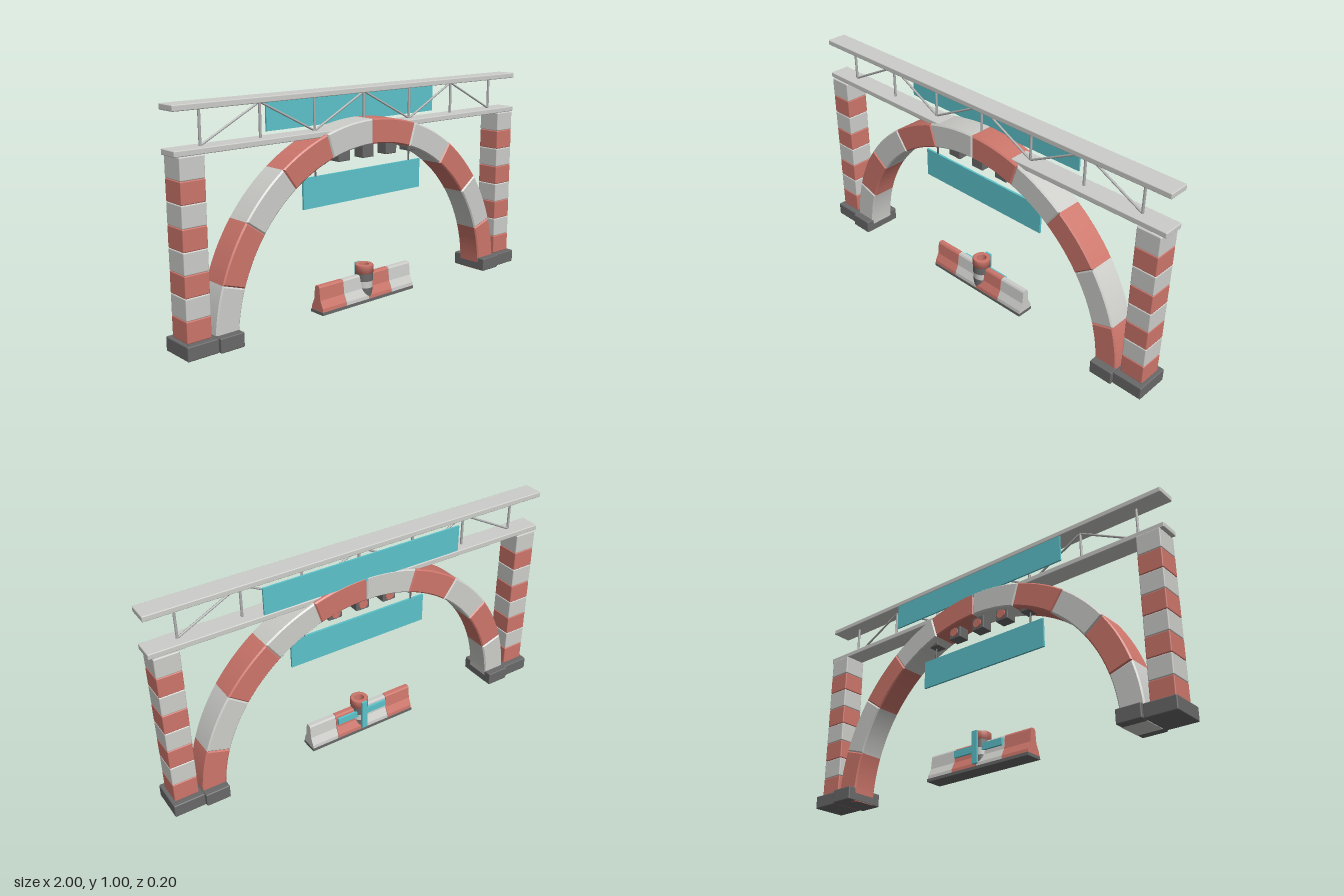
import * as THREE from 'three';
import { RoundedBoxGeometry } from 'three/addons/geometries/RoundedBoxGeometry.js';

const mat = (name, color) => {
  const m = new THREE.MeshStandardMaterial({ color });
  m.name = name;
  return m;
};

export function createModel() {
  const red = mat('red', 0xcd766b);
  const pale = mat('paleGrey', 0xcdcdca);
  const dark = mat('darkGrey', 0x696969);
  const metal = mat('metalGrey', 0xb2b2b2);
  const teal = mat('teal', 0x5cc3cb);

  const model = new THREE.Group();
  model.name = 'archGate';

  const add = (name, geometry, material, x = 0, y = 0, z = 0, parent = model) => {
    const mesh = new THREE.Mesh(geometry, material);
    mesh.name = name;
    mesh.position.set(x, y, z);
    parent.add(mesh);
    return mesh;
  };
  const block = (w, h, d, r = 0.005) => new RoundedBoxGeometry(w, h, d, 2, r);
  const group = (name) => {
    const g = new THREE.Group();
    g.name = name;
    model.add(g);
    return g;
  };

  // Round bar between two points in the z = 0 plane
  const bar = (name, x0, y0, x1, y1, radius, material, parent) => {
    const length = Math.hypot(x1 - x0, y1 - y0);
    const mesh = add(name, new THREE.CylinderGeometry(radius, radius, length, 8), material,
      (x0 + x1) / 2, (y0 + y1) / 2, 0, parent);
    mesh.rotation.z = Math.atan2(x0 - x1, y1 - y0);
  };

  // Arch: ten bevelled wedges in alternating colours
  const arch = group('arch');
  const step = Math.PI / 10, outer = 0.857, inner = 0.744, bevel = 0.006;
  for (let i = 0; i < 10; i++) {
    const a0 = i * step, a1 = a0 + step;
    const shape = new THREE.Shape();
    shape.absarc(0, 0, outer, a0, a1, false);
    shape.absarc(0, 0, inner, a1, a0, true);
    shape.closePath();
    const geo = new THREE.ExtrudeGeometry(shape, {
      depth: 0.126 - 2 * bevel, curveSegments: 8, bevelEnabled: true,
      bevelSize: bevel, bevelThickness: bevel, bevelOffset: -bevel, bevelSegments: 1,
    });
    geo.translate(0, 0, -0.063 + bevel);
    add('archSegment', geo, i % 2 ? pale : red, 0, 0, 0, arch);
  }

  // Striped posts and feet on both sides
  const pitch = 0.0927;
  for (const side of [-1, 1]) {
    const post = group(side > 0 ? 'leftPost' : 'rightPost');
    for (let i = 0; i < 8; i++) {
      add('postBlock', block(0.112, pitch, 0.114), i % 2 ? pale : red,
        side * 0.928, 0.062 + (i + 0.5) * pitch, 0, post);
    }
    add('postFoot', block(0.144, 0.062, 0.166), dark, side * 0.928, 0.031, 0, post);
    add('archFoot', block(0.114, 0.064, 0.196), dark, side * 0.8, 0.032, 0, post);
  }

  // Truss: two flat beams, uprights and zigzag diagonals
  const truss = group('truss');
  add('lowerBeam', block(2, 0.025, 0.098, 0.004), pale, 0, 0.8155, 0, truss);
  add('upperBeam', block(2, 0.025, 0.098, 0.004), pale, 0, 0.9875, 0, truss);
  const gap = 0.2853, low = 0.828, high = 0.975;
  for (let i = 0; i < 7; i++) {
    const x = (i - 3) * gap;
    bar('upright', x, low, x, high, 0.006, metal, truss);
    if (i < 6) {
      const up = i % 2 === 0;
      bar('diagonal', x, up ? low : high, x + gap, up ? high : low, 0.005, metal, truss);
    }
  }

  // Banner on the back of the truss
  add('upperBanner', new THREE.BoxGeometry(1, 0.125, 0.008), teal, 0, 0.9025, -0.057);

  // Hanging sign on two rods
  const sign = group('hangingSign');
  add('signPanel', new THREE.BoxGeometry(0.71, 0.138, 0.01), teal, 0, 0.559, 0, sign);
  for (const x of [-0.285, 0.285]) bar('signRod', x, 0.625, x, 0.71, 0.004, dark, sign);

  // Signal lamps under the crown, lenses facing the back
  const lamps = group('lamps');
  for (let i = -2; i <= 2; i++) {
    const x = i * 0.1427;
    add('lampBox', block(0.068, 0.07, 0.06, 0.004), dark, x, 0.715, 0, lamps);
    const lens = add('lampLens', new THREE.CylinderGeometry(0.022, 0.022, 0.008, 20), red,
      x, 0.711, -0.033, lamps);
    lens.rotation.x = Math.PI / 2;
  }

  // Road barrier: four sections with a flared profile
  const barrier = group('barrier');
  add('barrierBase', new THREE.BoxGeometry(0.57, 0.014, 0.084), dark, 0, 0.007, 0, barrier);
  const half = [[0.04, 0.012], [0.038, 0.03], [0.021, 0.065], [0.015, 0.122], [0.01, 0.13]];
  const profile = new THREE.Shape([
    ...half.map(([z, y]) => new THREE.Vector2(z, y)),
    ...half.slice().reverse().map(([z, y]) => new THREE.Vector2(-z, y)),
  ]);
  const width = 0.142;
  for (let i = 0; i < 4; i++) {
    const geo = new THREE.ExtrudeGeometry(profile, { depth: width - 0.002, bevelEnabled: false });
    geo.rotateY(Math.PI / 2);
    add('barrierSection', geo, i % 2 ? pale : red, (i - 2) * width + 0.001, 0, 0, barrier);
  }

  // Banded drum in the middle of the barrier, with a ring on top
  const drum = group('drum');
  const band = (name, r, y0, y1, material) =>
    add(name, new THREE.CylinderGeometry(r, r, y1 - y0, 24), material, 0, (y0 + y1) / 2, 0, drum);
  band('drumBottom', 0.039, 0.015, 0.065, dark);
  band('drumPaleBand', 0.039, 0.065, 0.098, pale);
  band('drumDarkBand', 0.042, 0.098, 0.135, dark);
  const ring = [[0.022, 0.135], [0.043, 0.135], [0.043, 0.172], [0.04, 0.175],
    [0.024, 0.175], [0.022, 0.172], [0.022, 0.135]];
  add('drumRing', new THREE.LatheGeometry(ring.map(([r, y]) => new THREE.Vector2(r, y)), 24),
    red, 0, 0, 0, drum);

  // Cross-shaped bracket behind the drum
  add('bracketUpright', new THREE.BoxGeometry(0.03, 0.15, 0.01), teal, 0, 0.099, -0.046, drum);
  add('bracketArm', new THREE.BoxGeometry(0.27, 0.032, 0.012), teal, 0, 0.1, -0.024, drum);

  return model;
}
